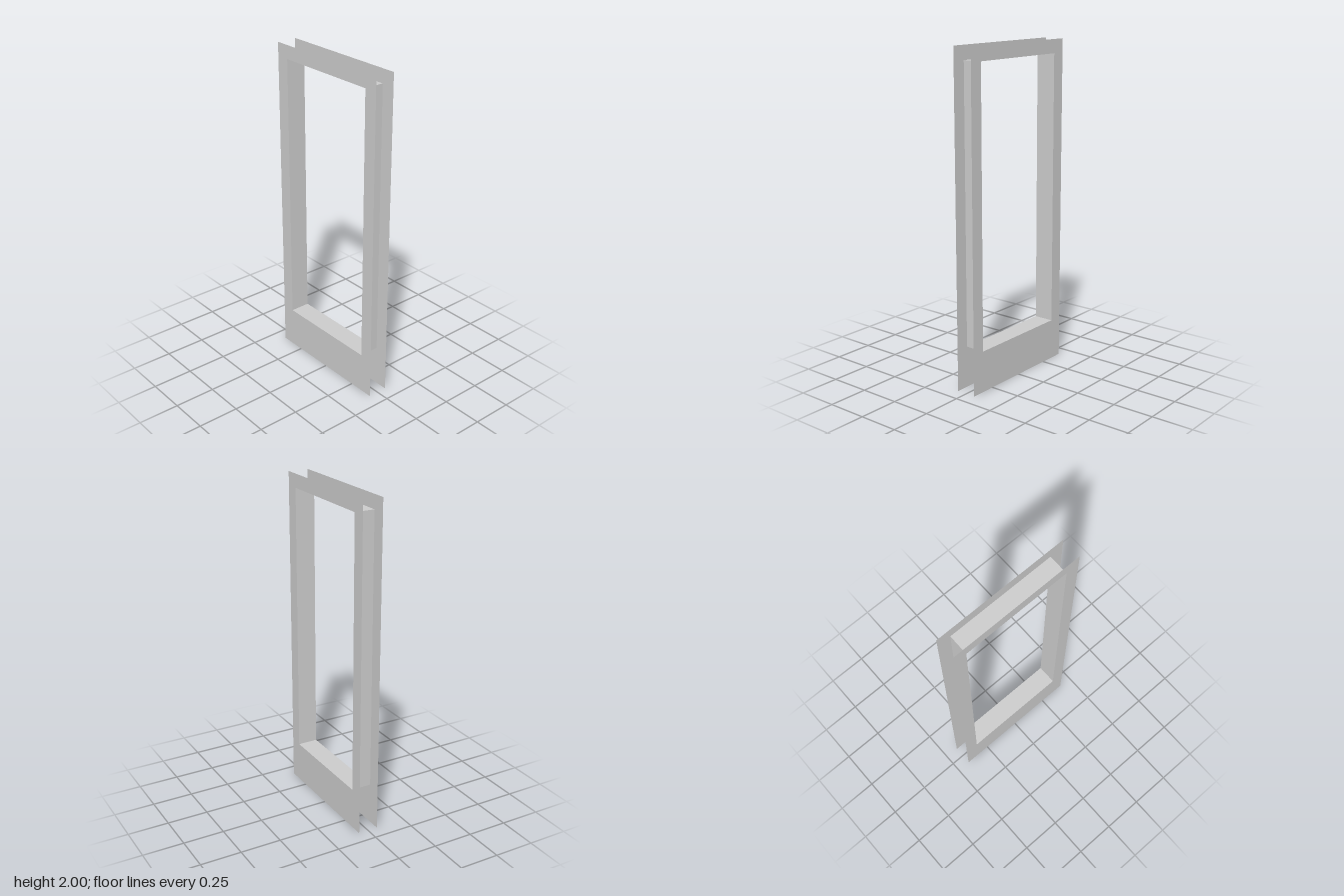
import * as THREE from 'three';

const OUTER_X = 0.416, TOP = 2;
const INNER_X = 0.333, SILL = 0.252, HEAD = 1.917;
const HALF_DEPTH = 0.0615;

function rectangle(PathType, x, y0, y1) {
  const path = new PathType();
  path.moveTo(-x, y0);
  path.lineTo(x, y0);
  path.lineTo(x, y1);
  path.lineTo(-x, y1);
  path.closePath();
  return path;
}

export function createModel() {
  const group = new THREE.Group();
  group.name = 'doorFrame';
  const material = new THREE.MeshStandardMaterial({ color: 0xcccccc, side: THREE.DoubleSide, flatShading: true });

  function add(name, geometry, x, y, z, rotX = 0, rotY = 0) {
    const mesh = new THREE.Mesh(geometry, material);
    mesh.name = name;
    mesh.position.set(x, y, z);
    mesh.rotation.set(rotX, rotY, 0);
    group.add(mesh);
  }

  // Thin face frames with a tall opening, front and back
  const face = rectangle(THREE.Shape, OUTER_X, 0, TOP);
  face.holes.push(rectangle(THREE.Path, INNER_X, SILL, HEAD));
  const faceGeometry = new THREE.ShapeGeometry(face);
  add('frontFace', faceGeometry, 0, 0, HALF_DEPTH);
  add('backFace', faceGeometry, 0, 0, -HALF_DEPTH, 0, Math.PI);

  // Lining of the opening, facing inward
  const depth = 2 * HALF_DEPTH;
  const jamb = new THREE.PlaneGeometry(depth, HEAD - SILL);
  const rail = new THREE.PlaneGeometry(2 * INNER_X, depth);
  const middle = (SILL + HEAD) / 2;
  add('leftJamb', jamb, INNER_X, middle, 0, 0, -Math.PI / 2);
  add('rightJamb', jamb, -INNER_X, middle, 0, 0, Math.PI / 2);
  add('sill', rail, 0, SILL, 0, -Math.PI / 2);
  add('head', rail, 0, HEAD, 0, Math.PI / 2);

  return group;
}
